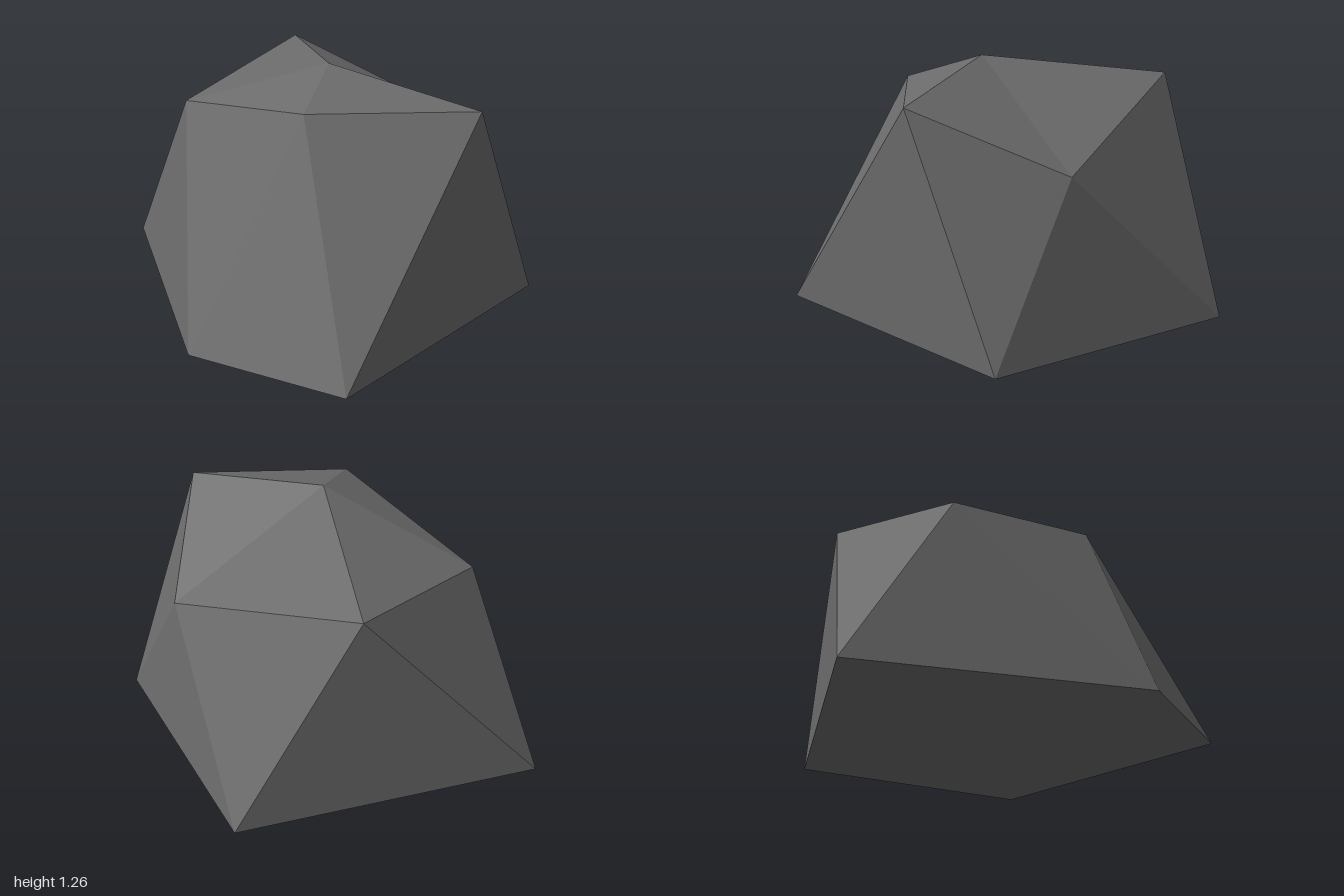
import * as THREE from 'three';

export function createModel() {
  const group = new THREE.Group();
  group.name = 'boulder';
  const stone = new THREE.MeshStandardMaterial({ color: 0x6a6a6a, flatShading: true });
  stone.name = 'grey stone';

  // Irregular twenty-sided rock: two rings of five corners, closed by two poles
  const lower = [[-0.52, 0.06, -1], [-0.92, 0.06, 0.32], [-0.52, 0.06, 1], [0.83, 0.06, 0.72], [0.92, 0.06, -0.52]];
  const upper = [[-0.48, 0.98, -0.45], [-0.35, 1.14, 0.42], [0.32, 1.14, 0.83], [0.75, 0.84, 0.26], [0.32, 1.14, -0.68]];
  const peak = [-0.05, 1.26, 0.18];
  const foot = [-0.1, 0, 0.32];

  const corners = [];
  const face = (a, b, c) => corners.push(...a, ...b, ...c);
  for (let i = 0; i < 5; i++) {
    const j = (i + 1) % 5;
    face(lower[i], lower[j], upper[i]); // side, pointing up
    face(lower[j], upper[j], upper[i]); // side, pointing down
    face(upper[i], upper[j], peak); // cap
    face(lower[j], lower[i], foot); // underside
  }

  const geometry = new THREE.BufferGeometry();
  geometry.setAttribute('position', new THREE.Float32BufferAttribute(corners, 3));
  geometry.computeVertexNormals();
  const rock = new THREE.Mesh(geometry, stone);
  rock.name = 'rock';
  group.add(rock);
  return group;
}
